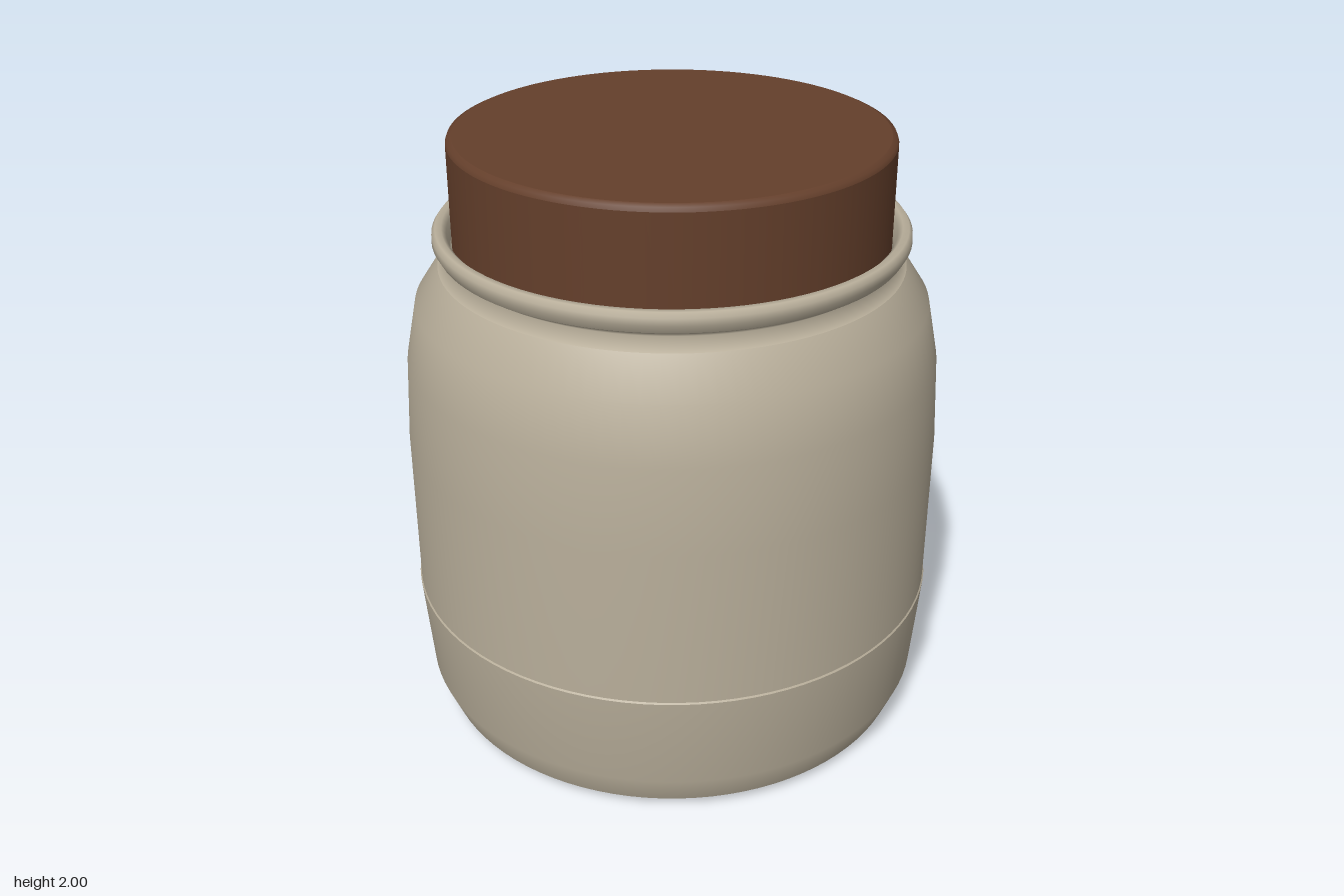
import * as THREE from 'three';

const SEGMENTS = 96;

export function createModel() {
  const model = new THREE.Group();
  model.name = 'jar';

  const ceramic = new THREE.MeshStandardMaterial({ color: 0xb8ae9a });
  ceramic.name = 'beige ceramic';
  const wood = new THREE.MeshStandardMaterial({ color: 0x643f2b });
  wood.name = 'brown lid';

  // Revolves a profile of [radius, height] points, listed from the bottom up
  function turn(name, profile, material) {
    const points = profile.map(([r, y]) => new THREE.Vector2(r, y));
    const mesh = new THREE.Mesh(new THREE.LatheGeometry(points, SEGMENTS), material);
    mesh.name = name;
    model.add(mesh);
  }

  // Flat disc facing up or down
  function disc(name, radius, y, up, material) {
    const geometry = new THREE.CircleGeometry(radius, SEGMENTS);
    geometry.rotateX(up ? -Math.PI / 2 : Math.PI / 2);
    const mesh = new THREE.Mesh(geometry, material);
    mesh.name = name;
    mesh.position.y = y;
    model.add(mesh);
  }

  // Jar: base, rounded foot, lower wall, step and main wall
  disc('jarBase', 0.75, 0.005, false, ceramic);
  turn('jarFoot', [[0.75, 0.005], [0.81, 0.04]], ceramic);
  turn('lowerWall', [[0.81, 0.04], [0.853, 0.145], [0.88, 0.47]], ceramic);
  turn('wallStep', [[0.88, 0.47], [0.876, 0.475]], ceramic);
  turn('mainWall', [
    [0.876, 0.475], [0.876, 1.0], [0.861, 1.28], [0.824, 1.465], [0.745, 1.585],
  ], ceramic);

  // Neck groove below the rim
  turn('neck', [[0.745, 1.585], [0.695, 1.615], [0.742, 1.645]], ceramic);

  // Rolled rim, turning down into the mouth
  turn('rim', [
    [0.742, 1.645], [0.757, 1.672], [0.756, 1.695], [0.745, 1.71],
    [0.725, 1.71], [0.71, 1.695], [0.7, 1.65],
  ], ceramic);

  // Lid: side reaching into the mouth, bevelled edge and flat top
  disc('lidUnderside', 0.695, 1.65, false, wood);
  turn('lidSide', [[0.695, 1.65], [0.695, 1.98]], wood);
  turn('lidBevel', [[0.695, 1.98], [0.69, 1.993], [0.675, 2]], wood);
  disc('lidTop', 0.675, 2, true, wood);

  return model;
}
